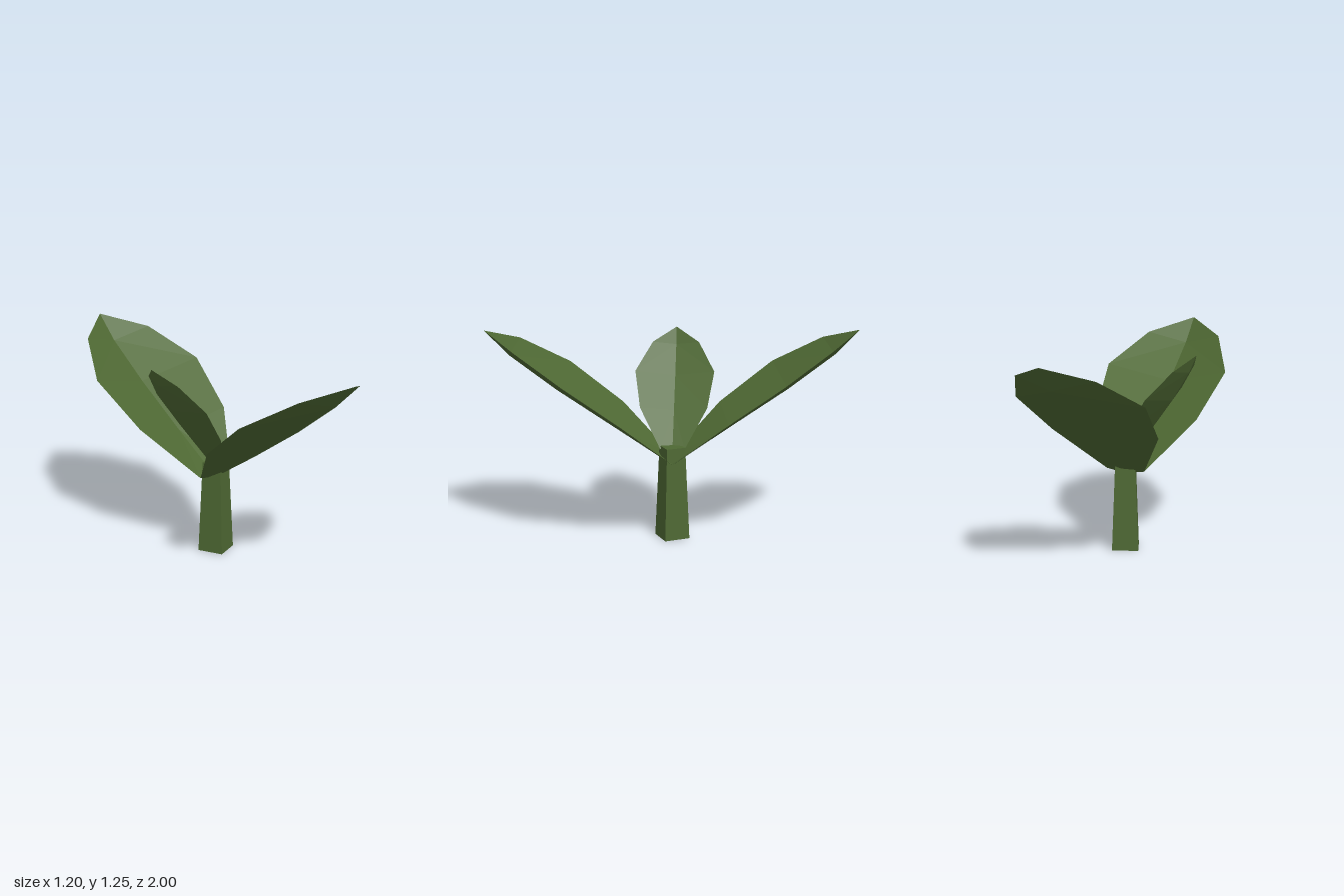
import * as THREE from 'three';

const green = new THREE.MeshStandardMaterial({ color: 0x4e6833, flatShading: true, side: THREE.DoubleSide });
green.name = 'leafGreen';

// Rows from base to tip: [edge distance, edge height, half width, midrib distance, midrib height]
const bigRows = [
  [0, 0.475, 0.12, 0, 0.455],
  [0.293, 0.75, 0.332, 0.335, 0.67],
  [0.614, 0.99, 0.392, 0.675, 0.9],
  [0.9, 1.165, 0.238, 0.945, 1.105],
  [1.085, 1.25, 0, 1.085, 1.25],
];
const smallRows = [
  [0, 0.54, 0.073, 0.01, 0.525],
  [0.12, 0.76, 0.2, 0.165, 0.735],
  [0.25, 0.955, 0.237, 0.303, 0.92],
  [0.375, 1.11, 0.14, 0.41, 1.09],
  [0.454, 1.19, 0, 0.454, 1.19],
];

// A leaf folded along its midrib, pointing away from the stem at the given angle
function makeLeaf(name, rows, angle) {
  const s = Math.sin(angle), c = Math.cos(angle);
  const at = (out, y, side) => [s * out + c * side, y, c * out - s * side];
  const sections = rows.map(([out, y, half, midOut, midY]) =>
    [at(out, y, -half), at(midOut, midY, 0), at(out, y, half)]);
  const positions = [];
  for (let i = 0; i < sections.length - 1; i++) {
    const last = i === sections.length - 2;
    for (let j = 0; j < 2; j++) {
      const a = sections[i][j], b = sections[i + 1][j];
      const d = sections[i][j + 1], e = sections[i + 1][j + 1];
      if (last) positions.push(...a, ...b, ...d);
      // split each half symmetrically about the midrib
      else if (j === 0) positions.push(...a, ...b, ...e, ...a, ...e, ...d);
      else positions.push(...a, ...b, ...d, ...b, ...e, ...d);
    }
  }
  const geometry = new THREE.BufferGeometry();
  geometry.setAttribute('position', new THREE.Float32BufferAttribute(positions, 3));
  geometry.computeVertexNormals();
  const mesh = new THREE.Mesh(geometry, green);
  mesh.name = name;
  return mesh;
}

export function createModel() {
  const model = new THREE.Group();
  model.name = 'seedling';

  // Tapered four-sided stem with its corners on the axes
  const stem = new THREE.Mesh(new THREE.CylinderGeometry(0.082, 0.11, 0.555, 4), green);
  stem.name = 'stem';
  stem.position.y = 0.2775;
  model.add(stem);

  // Two opposite large leaves and a small upright one
  const angle = Math.atan2(0.42, 1);
  model.add(makeLeaf('frontLeaf', bigRows, angle));
  model.add(makeLeaf('backLeaf', bigRows, angle + Math.PI));
  model.add(makeLeaf('smallLeaf', smallRows, Math.atan2(-0.43, 0.145)));
  return model;
}
